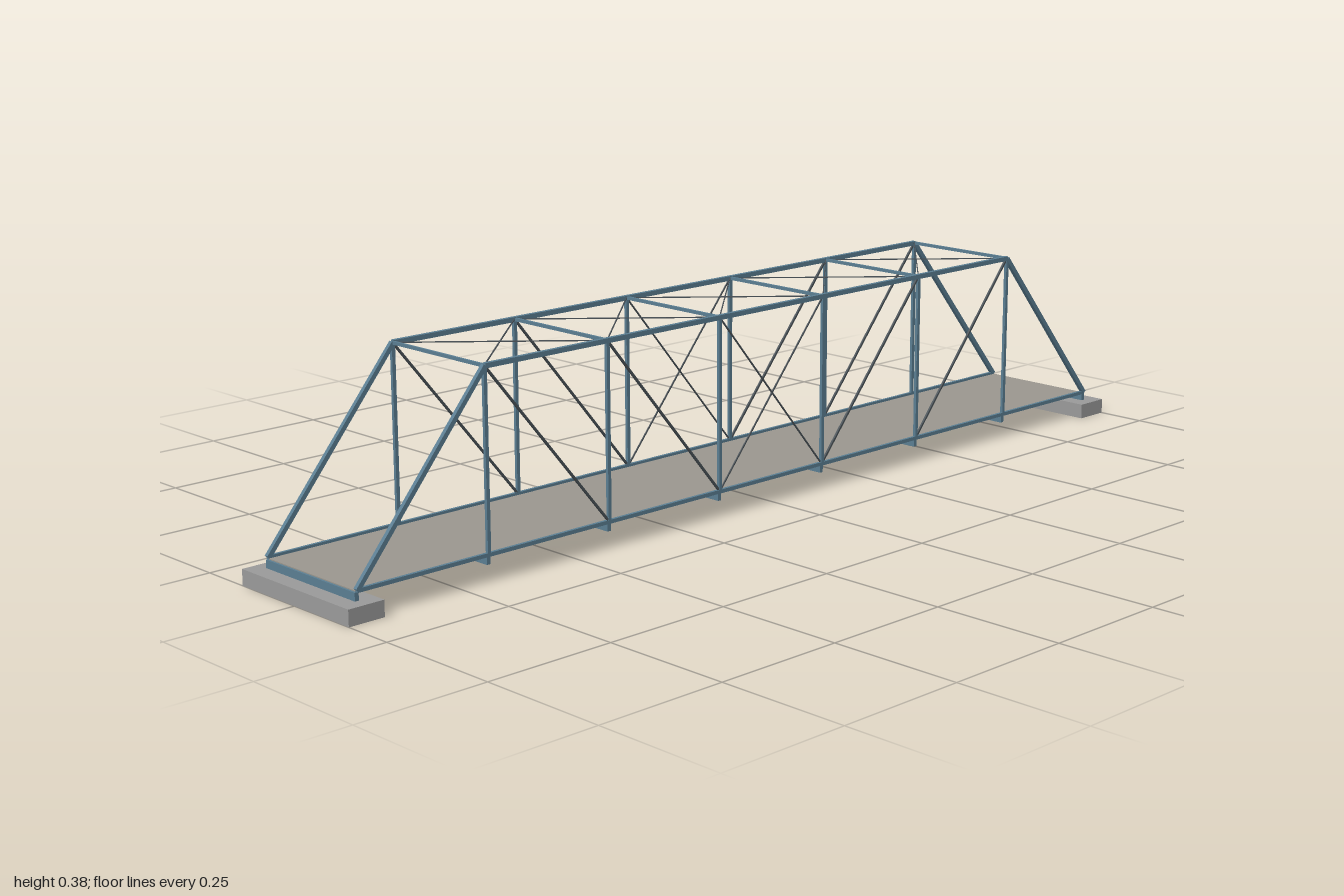
import * as THREE from 'three';

const steel = new THREE.MeshStandardMaterial({ color: 0x5a7d91 });
const rodSteel = new THREE.MeshStandardMaterial({ color: 0x4a5258 });
const deckMat = new THREE.MeshStandardMaterial({ color: 0x9a968e });
const concrete = new THREE.MeshStandardMaterial({ color: 0x999999 });

const PANEL = 0.2755, HALF_Z = 0.125, LOW = 0.048, HIGH = 0.377;
const panelX = i => (i - 3.5) * PANEL; // panel points 0..7

export function createModel() {
  const bridge = new THREE.Group();
  bridge.name = 'trussBridge';

  const box = (parent, name, size, pos, mat) => {
    const m = new THREE.Mesh(new THREE.BoxGeometry(...size), mat);
    m.name = name;
    m.position.set(...pos);
    parent.add(m);
    return m;
  };

  // Straight bar between two points; depth is measured in the bar's upright plane
  const bar = (parent, name, a, b, width, depth = width, mat = steel) => {
    const p = new THREE.Vector3(...a), q = new THREE.Vector3(...b);
    const dir = q.clone().sub(p);
    const m = new THREE.Mesh(new THREE.BoxGeometry(width, depth, dir.length()), mat);
    m.name = name;
    m.position.copy(p).add(q).multiplyScalar(0.5);
    m.up.set(0, Math.abs(dir.x) + Math.abs(dir.z) < 1e-6 ? 0 : 1, 0);
    if (m.up.y === 0) m.up.set(1, 0, 0);
    m.lookAt(q.sub(p).add(m.position));
    parent.add(m);
  };

  // Side trusses
  for (const s of [1, -1]) {
    const truss = new THREE.Group();
    truss.name = s > 0 ? 'frontTruss' : 'backTruss';
    bridge.add(truss);
    const z = s * HALF_Z;
    const low = i => [panelX(i), LOW, z], high = i => [panelX(i), HIGH, z];
    bar(truss, 'topChord', high(1), high(6), 0.008, 0.009);
    bar(truss, 'bottomChord', low(0), low(7), 0.006, 0.007);
    bar(truss, 'endPost', low(0), high(1), 0.008, 0.009);
    bar(truss, 'endPost', low(7), high(6), 0.008, 0.009);
    for (let i = 1; i <= 6; i++) bar(truss, 'vertical', low(i), high(i), 0.006, 0.007);
    for (const i of [1, 2]) {
      bar(truss, 'diagonal', high(i), low(i + 1), 0.004, 0.004, rodSteel);
      bar(truss, 'diagonal', high(7 - i), low(6 - i), 0.004, 0.004, rodSteel);
    }
    // crossed counters in the middle panel
    bar(truss, 'counter', high(3), low(4), 0.0025, 0.0025, rodSteel);
    bar(truss, 'counter', high(4), low(3), 0.0025, 0.0025, rodSteel);
  }

  // Top struts and crossed lateral rods
  for (let i = 1; i <= 6; i++) {
    bar(bridge, 'topStrut', [panelX(i), HIGH, -HALF_Z], [panelX(i), HIGH, HALF_Z], 0.005, 0.006);
    if (i < 6) for (const s of [1, -1]) {
      bar(bridge, 'topLateral', [panelX(i), HIGH, -s * HALF_Z],
        [panelX(i + 1), HIGH, s * HALF_Z], 0.002, 0.002, rodSteel);
    }
  }

  // Floor beams, stringers and deck
  for (let i = 0; i <= 7; i++) {
    box(bridge, 'floorBeam', [0.008, 0.015, 2 * HALF_Z], [panelX(i), 0.0375, 0], steel);
  }
  for (let j = -2; j <= 2; j++) {
    box(bridge, 'stringer', [7 * PANEL, 0.009, 0.005], [0, 0.0385, j * 0.05], steel);
  }
  box(bridge, 'deck', [7 * PANEL, 0.004, 0.242], [0, 0.045, 0], deckMat);

  // Abutments
  for (const s of [1, -1]) {
    box(bridge, 'abutment', [0.072, 0.03, 0.3], [s * 0.964, 0.015, 0], concrete);
  }
  return bridge;
}
